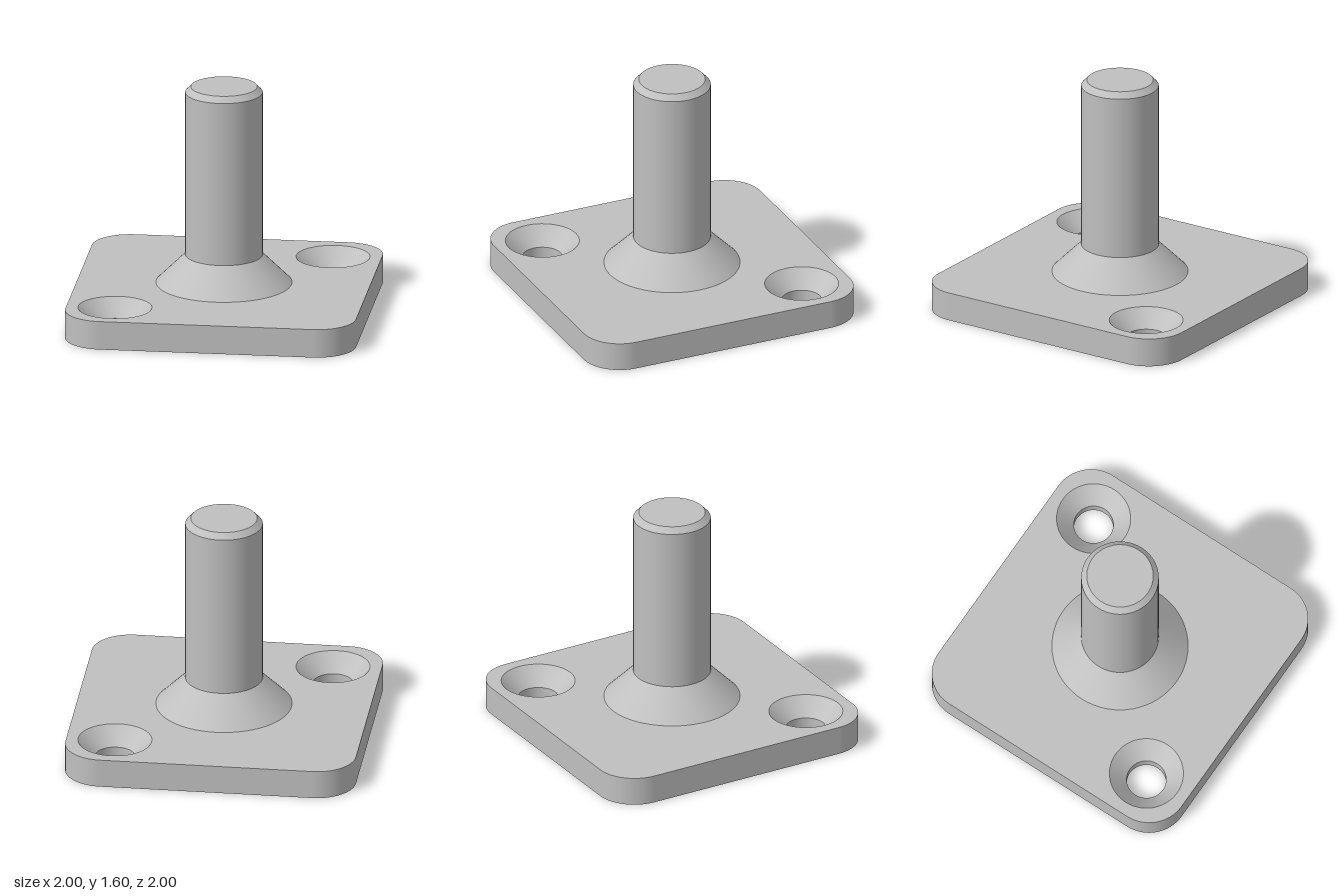
import * as THREE from 'three';

const SEG = 64;
const THICK = 0.2;                 // plate thickness
const CORNER = 0.267;              // plate corner radius
const HOLE_AT = 0.667, HOLE_R = 0.135, SINK_R = 0.253, SINK_Y = 0.08;
const FLANGE_R = 0.465;

// Rounded-square outline: points with their outward directions
function outline() {
  const pts = [], steps = 16, c = 1 - CORNER;
  for (let q = 0; q < 4; q++) {
    const mid = (q + 0.5) * Math.PI / 2;
    const cx = Math.sign(Math.cos(mid)) * c, cz = Math.sign(Math.sin(mid)) * c;
    for (let i = 0; i <= steps; i++) {
      const a = (q + i / steps) * Math.PI / 2;
      const nx = Math.cos(a), nz = Math.sin(a);
      pts.push({ x: cx + CORNER * nx, z: cz + CORNER * nz, nx, nz });
    }
  }
  return pts;
}

// Vertical rim of the plate
function rimGeometry() {
  const pts = outline(), pos = [], nor = [], idx = [], n = pts.length;
  pts.forEach((p, i) => {
    pos.push(p.x, 0, p.z, p.x, THICK, p.z);
    nor.push(p.nx, 0, p.nz, p.nx, 0, p.nz);
    const b = 2 * i, d = 2 * ((i + 1) % n);
    idx.push(b, b + 1, d, b + 1, d + 1, d);
  });
  const g = new THREE.BufferGeometry();
  g.setAttribute('position', new THREE.Float32BufferAttribute(pos, 3));
  g.setAttribute('normal', new THREE.Float32BufferAttribute(nor, 3));
  g.setIndex(idx);
  return g;
}

// Flat plate face; side is +1 for the top, -1 for the underside
function faceGeometry(side, holeR, centreR) {
  const shape = new THREE.Shape(outline().map(p => new THREE.Vector2(p.x, p.z)));
  const cut = (x, y, r) =>
    shape.holes.push(new THREE.Path().absarc(x, y, r, 0, Math.PI * 2, true));
  for (const s of [1, -1]) cut(s * HOLE_AT, s * side * HOLE_AT, holeR);
  if (centreR) cut(0, 0, centreR);
  return new THREE.ShapeGeometry(shape, SEG / 2).rotateX(-side * Math.PI / 2);
}

// Ring surface between two radii; upward profiles face outward, downward ones inward
const band = (r1, y1, r2, y2) => new THREE.LatheGeometry(
  [new THREE.Vector2(r1, y1), new THREE.Vector2(r2, y2)], SEG);

export function createModel() {
  const model = new THREE.Group();
  model.name = 'mountingStud';
  const steel = new THREE.MeshStandardMaterial({ color: 0xc0c0c0 });
  steel.name = 'steel grey';

  const group = (name) => {
    const g = new THREE.Group();
    g.name = name;
    model.add(g);
    return g;
  };
  const add = (parent, name, geometry) => {
    const m = new THREE.Mesh(geometry, steel);
    m.name = name;
    parent.add(m);
    return m;
  };

  // Base plate
  const plate = group('basePlate');
  add(plate, 'plateRim', rimGeometry());
  add(plate, 'plateTop', faceGeometry(1, SINK_R, FLANGE_R)).position.y = THICK;
  add(plate, 'plateUnderside', faceGeometry(-1, HOLE_R));

  // Two countersunk screw holes on opposite corners
  for (const s of [1, -1]) {
    const hole = group(s > 0 ? 'leftScrewHole' : 'rightScrewHole');
    hole.position.set(s * HOLE_AT, 0, -s * HOLE_AT);
    add(hole, 'countersink', band(SINK_R, THICK, HOLE_R, SINK_Y));
    add(hole, 'bore', band(HOLE_R, SINK_Y, HOLE_R, 0));
  }

  // Central post with conical foot and chamfered tip
  const post = group('post');
  add(post, 'conicalFoot', band(FLANGE_R, THICK, 0.265, 0.4));
  add(post, 'shaft', band(0.265, 0.4, 0.265, 1.56));
  add(post, 'tipChamfer', band(0.265, 1.56, 0.227, 1.6));
  add(post, 'tipFace', band(0.227, 1.6, 0, 1.6));

  return model;
}
